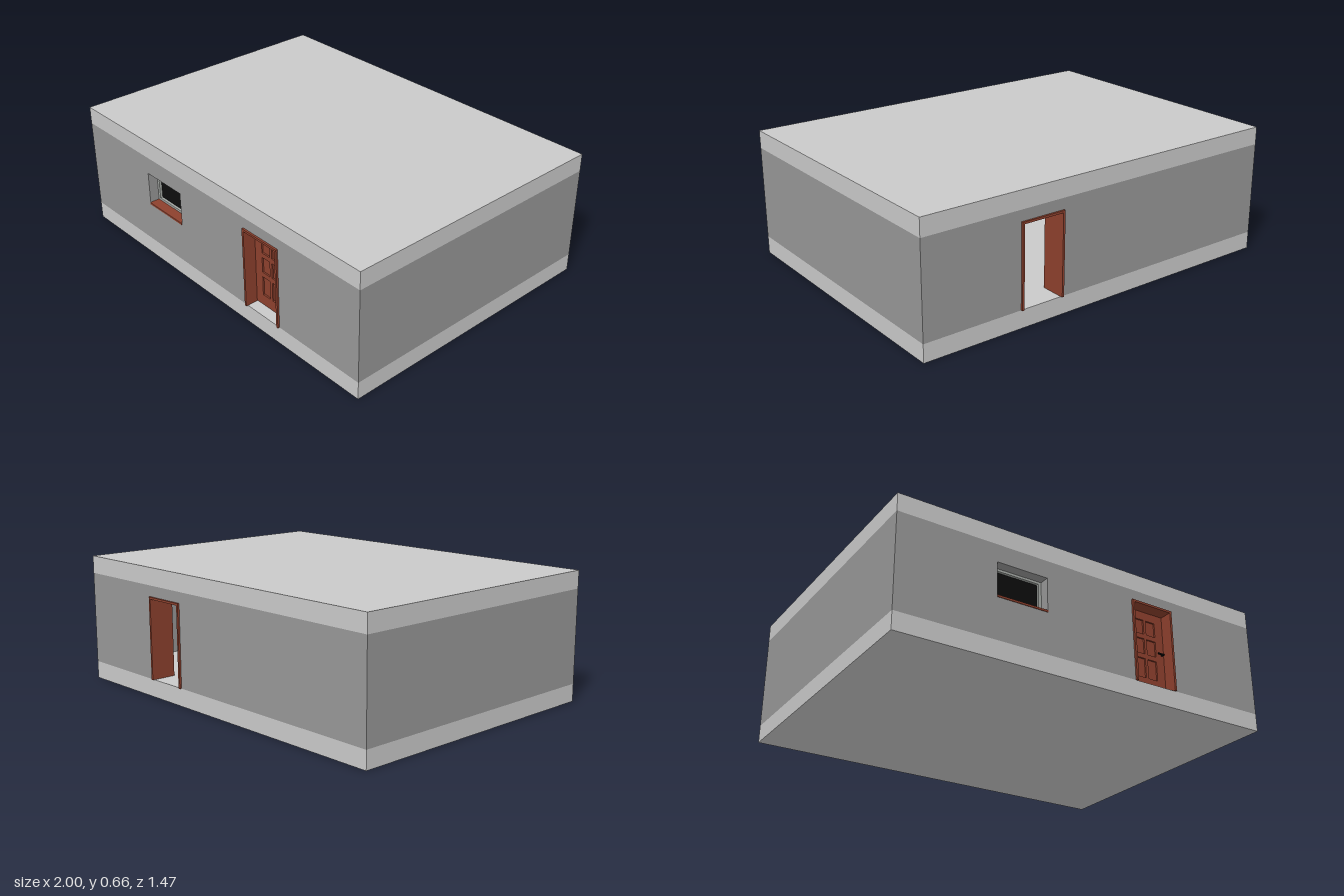
import * as THREE from 'three';

const mat = (name, color) => Object.assign(new THREE.MeshStandardMaterial({ color }), { name });

export function createModel() {
  const slabGrey = mat('slab grey', 0xc9c9c9);
  const wallGrey = mat('wall grey', 0x979797);
  const wood = mat('red brown wood', 0x8d402d);
  const frameGrey = mat('window frame grey', 0xa6aaa6);
  const black = mat('black', 0x0d0d0d);

  const model = new THREE.Group();
  model.name = 'building';

  const add = (name, geometry, material, parent = model) => {
    const mesh = new THREE.Mesh(geometry, material);
    mesh.name = name;
    parent.add(mesh);
    return mesh;
  };
  // Box given by its limits
  const box = (name, material, x0, x1, y0, y1, z0, z1, parent) => {
    const mesh = add(name, new THREE.BoxGeometry(x1 - x0, y1 - y0, z1 - z0), material, parent);
    mesh.position.set((x0 + x1) / 2, (y0 + y1) / 2, (z0 + z1) / 2);
    return mesh;
  };
  const outline = (points) => new THREE.Shape(points.map(([x, y]) => new THREE.Vector2(x, y)));
  const rect = (x0, x1, y0, y1) => outline([[x0, y0], [x1, y0], [x1, y1], [x0, y1]]);
  // Flat outline pushed from z0 to z1
  const slice = (name, material, shape, z0, z1, parent) => {
    const geometry = new THREE.ExtrudeGeometry(shape, { depth: z1 - z0, bevelEnabled: false });
    return add(name, geometry.translate(0, 0, z0), material, parent);
  };

  const D = 0.725, T = 0.11, FLOOR = 0.09, CEIL = 0.565, H = 0.655;
  const door = { x0: 0.25, x1: 0.487, top: 0.51 };
  const win = { x0: -0.5, x1: -0.235, y0: 0.3, y1: 0.475 };

  // Floor and roof slabs
  box('floorSlab', slabGrey, -1, 1, 0, FLOOR, -D, D);
  box('roofSlab', slabGrey, -1, 1, CEIL, H, -D, D);

  // Side walls of the hollow room
  box('leftWall', wallGrey, 1 - T, 1, FLOOR, CEIL, -D, D);
  box('rightWall', wallGrey, -1, -1 + T, FLOOR, CEIL, -D, D);

  // Long walls, each with a doorway
  const wallShape = () => outline([
    [-1 + T, FLOOR], [door.x0, FLOOR], [door.x0, door.top], [door.x1, door.top],
    [door.x1, FLOOR], [1 - T, FLOOR], [1 - T, CEIL], [-1 + T, CEIL],
  ]);
  const frontShape = wallShape();
  frontShape.holes.push(rect(win.x0, win.x1, win.y0, win.y1));
  slice('frontWall', wallGrey, frontShape, D - T, D);
  slice('backWall', wallGrey, wallShape(), -D, -D + T);
  // Wall ends on the outer faces, closing the corners
  for (const z of [D - 0.005, -D]) {
    for (const x of [-1, 1 - T]) box('cornerFace', wallGrey, x, x + T, FLOOR, CEIL, z, z + 0.005);
  }

  // Door linings, standing slightly proud of the walls
  const w = 0.011;
  const lining = outline([
    [door.x0, FLOOR], [door.x0 + w, FLOOR], [door.x0 + w, door.top - w], [door.x1 - w, door.top - w],
    [door.x1 - w, FLOOR], [door.x1, FLOOR], [door.x1, door.top], [door.x0, door.top],
  ]);
  slice('frontDoorFrame', wood, lining, 0.605, 0.735);
  slice('backDoorFrame', wood, lining, -0.735, -0.605);

  // Panelled front door leaf
  const frontDoor = new THREE.Group();
  frontDoor.name = 'frontDoor';
  model.add(frontDoor);
  const leaf = rect(door.x0 + w, door.x1 - w, FLOOR + 0.004, door.top - w);
  const panels = [];
  for (const [x0, x1] of [[0.308, 0.361], [0.376, 0.429]]) {
    for (const [y0, y1] of [[0.15, 0.25], [0.275, 0.355], [0.38, 0.455]]) panels.push([x0, x1, y0, y1]);
  }
  for (const p of panels) {
    leaf.holes.push(rect(...p));
    box('doorPanel', wood, ...p, 0.642, 0.662, frontDoor);
  }
  slice('doorLeaf', wood, leaf, 0.634, 0.67, frontDoor);
  for (const side of [-1, 1]) {
    const z = 0.652 + side * 0.024;
    box('handleStem', black, 0.461, 0.468, 0.288, 0.295, z - 0.008, z + 0.008, frontDoor);
    const grip = z + side * 0.008;
    box('doorHandle', black, 0.432, 0.468, 0.288, 0.295, grip - 0.003, grip + 0.003, frontDoor);
  }

  // Recessed window with a flush wooden sill
  const frame = rect(win.x0, win.x1, win.y0 + 0.01, win.y1);
  frame.holes.push(rect(win.x0 + 0.015, win.x1 - 0.015, win.y0 + 0.022, win.y1 - 0.012));
  slice('windowFrame', frameGrey, frame, 0.64, 0.675);
  box('windowGlass', black, win.x0 + 0.01, win.x1 - 0.01, win.y0 + 0.018, win.y1 - 0.008, 0.654, 0.662);
  box('windowSill', wood, win.x0, win.x1, win.y0, win.y0 + 0.01, 0.63, 0.728);

  return model;
}
